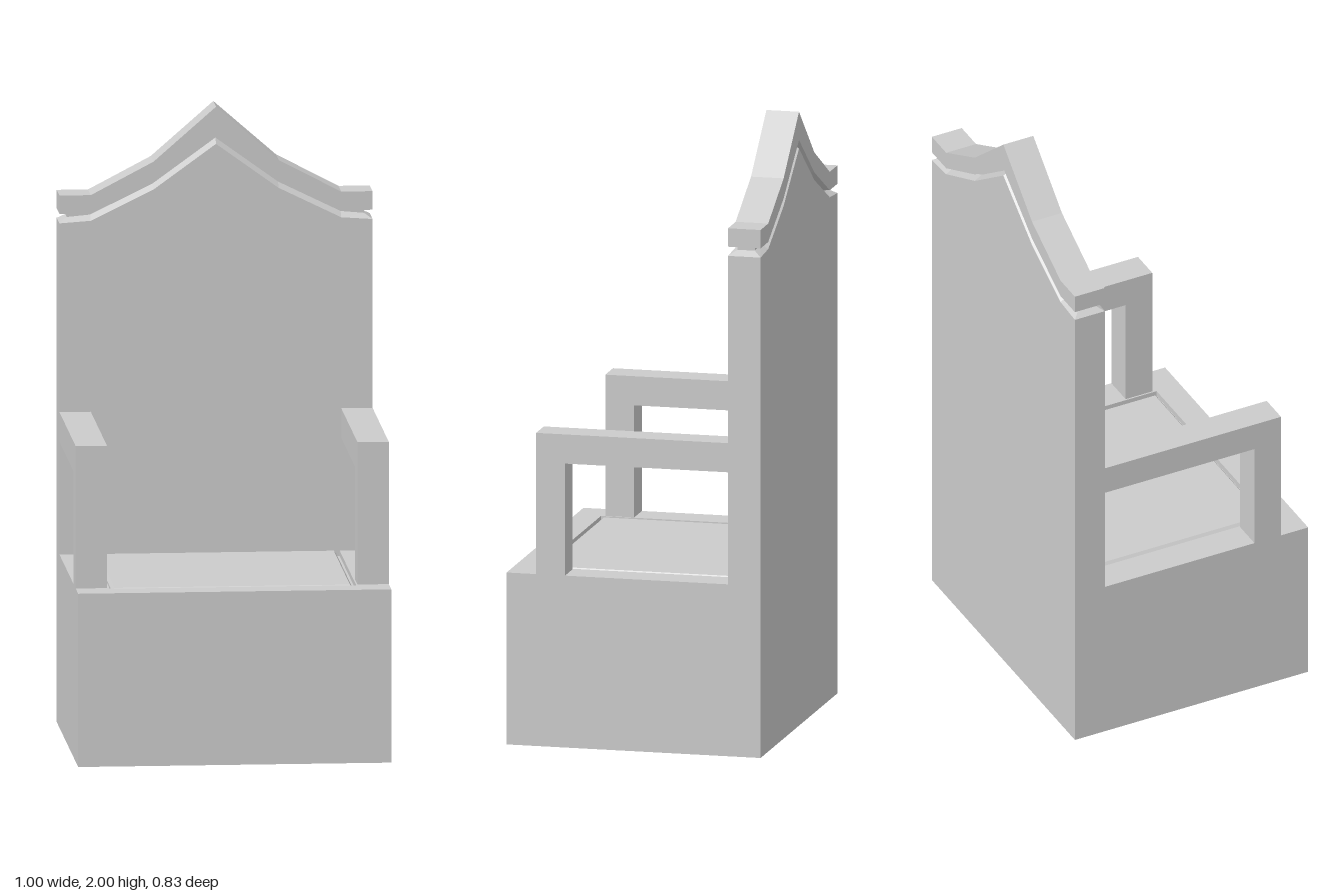
import * as THREE from 'three';

const material = new THREE.MeshStandardMaterial({ color: 0xcccccc, flatShading: true });
const BACK = -0.417, FRONT = 0.417, REST = -0.31, SEAT = 0.56, GROOVE = 0.542;

function add(group, name, geometry) {
  const mesh = new THREE.Mesh(geometry, material);
  mesh.name = name;
  group.add(mesh);
  return mesh;
}

function box(group, name, x0, x1, y0, y1, z0, z1) {
  const mesh = add(group, name, new THREE.BoxGeometry(x1 - x0, y1 - y0, z1 - z0));
  mesh.position.set((x0 + x1) / 2, (y0 + y1) / 2, (z0 + z1) / 2);
}

const polygon = (points) => new THREE.Shape(points.map(([x, y]) => new THREE.Vector2(x, y)));

// Backrest: cross-sections across x, each a slab outline with a groove below the crest
function backrestGeometry() {
  // Half width, height of the panel lip, crest underside, crest top
  const half = [
    [0.5, 1.63, 1.66, 1.72],
    [0.4, 1.637, 1.66, 1.72],
    [0.2, 1.735, 1.76, 1.825],
    [0, 1.88, 1.908, 2],
  ];
  const stations = [
    ...half.map(([x, ...h]) => [-x, ...h]),
    ...half.slice(0, 3).reverse(),
  ];
  const inset = 0.025;
  const rings = stations.map(([x, lip, under, top]) => {
    const rows = [[0, 0], [lip, 0], [lip + 0.016, inset], [under, inset], [under, 0], [top, 0]];
    const side = (z, dir) => rows.map(([y, d]) => [
      Math.abs(x) === 0.5 ? x - Math.sign(x) * d : x, y, z - dir * d,
    ]);
    return [...side(REST, 1), ...side(BACK, -1).reverse()];
  });
  const positions = [];
  const quad = (a, b, c, d) => positions.push(...a, ...b, ...c, ...a, ...c, ...d);
  const n = rings[0].length;
  for (let s = 0; s < rings.length - 1; s++) {
    for (let i = 0; i < n; i++) {
      const j = (i + 1) % n;
      quad(rings[s][i], rings[s + 1][i], rings[s + 1][j], rings[s][j]);
    }
  }
  // End faces join the front edge to the back edge
  const l = rings[0], r = rings[rings.length - 1];
  for (let i = 0; i < n / 2 - 1; i++) {
    const k = n - 1 - i;
    quad(r[i], r[k], r[k - 1], r[i + 1]);
    quad(l[k], l[i], l[i + 1], l[k - 1]);
  }
  const geometry = new THREE.BufferGeometry();
  geometry.setAttribute('position', new THREE.Float32BufferAttribute(positions, 3));
  geometry.computeVertexNormals();
  return geometry;
}

export function createModel() {
  const chair = new THREE.Group();
  chair.name = 'highBackArmchair';

  // Solid base with a raised rim round the seat panel
  box(chair, 'base', -0.5, 0.5, 0, GROOVE, REST, FRONT);
  for (const s of [-1, 1]) {
    box(chair, s > 0 ? 'leftSeatRim' : 'rightSeatRim',
      s > 0 ? 0.395 : -0.5, s > 0 ? 0.5 : -0.395, GROOVE, SEAT, REST, FRONT);
  }
  box(chair, 'frontSeatRim', -0.395, 0.395, GROOVE, SEAT, 0.333, FRONT);

  // Seat panel with sloped edges, leaving a narrow groove to the rim
  const panel = new THREE.ExtrudeGeometry(
    polygon([[-0.376, -0.318], [0.376, -0.318], [0.376, 0.33], [-0.376, 0.33]]),
    { depth: 0.01, bevelThickness: 0.01, bevelSize: 0.008, bevelSegments: 1 });
  panel.rotateX(-Math.PI / 2).translate(0, SEAT - 0.02, 0);
  add(chair, 'seatPanel', panel);

  add(chair, 'backrest', backrestGeometry());

  // Armrests: a front post and a level rail in one piece
  const armShape = polygon([
    [-0.32, SEAT], [-0.225, SEAT], [-0.225, 0.925], [-REST, 0.925], [-REST, 1.02], [-0.32, 1.02],
  ]);
  for (const s of [-1, 1]) {
    const arm = new THREE.ExtrudeGeometry(armShape, { depth: 0.1, bevelEnabled: false });
    arm.rotateY(Math.PI / 2).translate(s > 0 ? 0.4 : -0.5, 0, 0);
    add(chair, s > 0 ? 'leftArmrest' : 'rightArmrest', arm);
  }
  return chair;
}
